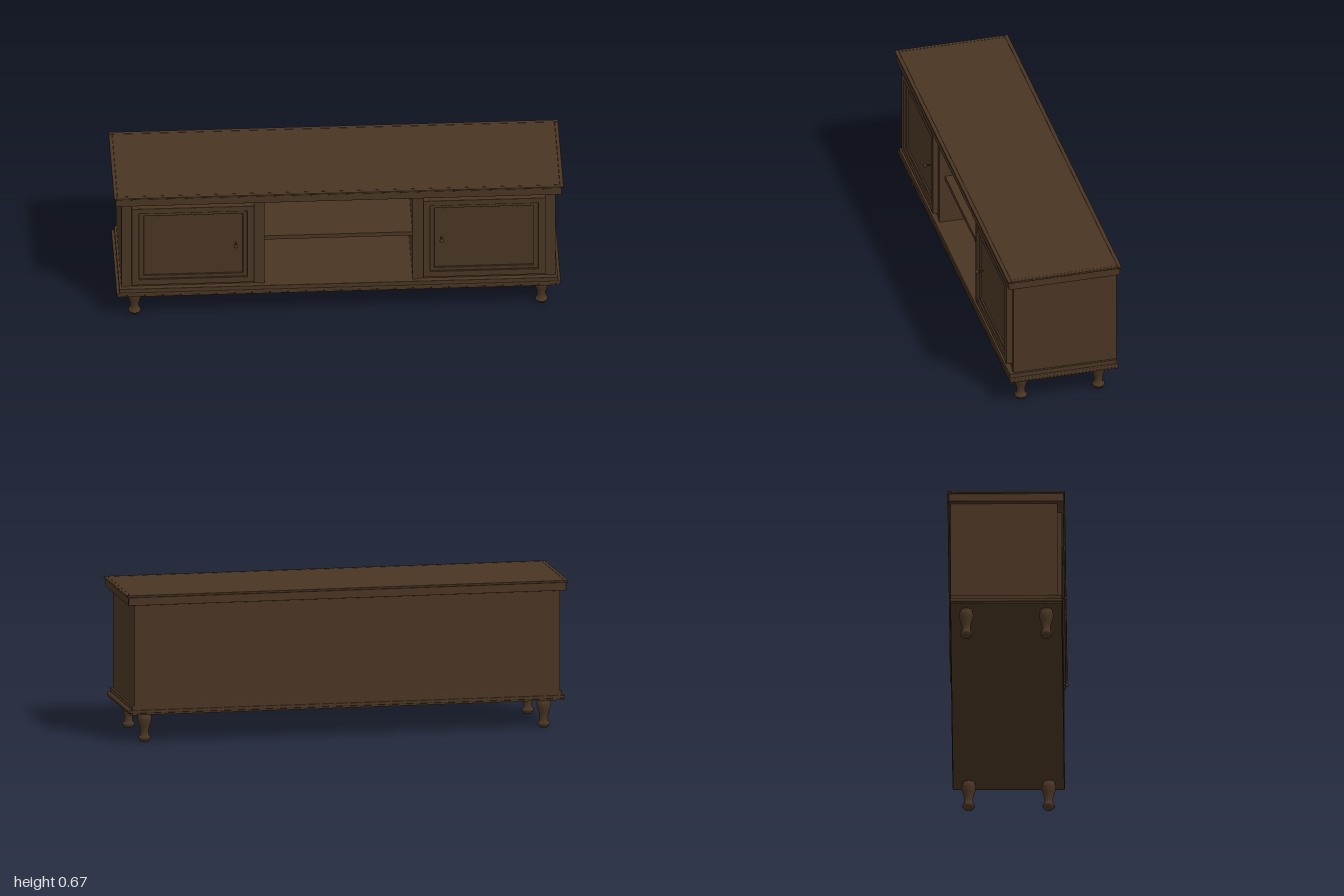
import * as THREE from 'three';
import { RoundedBoxGeometry } from 'three/addons/geometries/RoundedBoxGeometry.js';

export function createModel() {
  const model = new THREE.Group();
  model.name = 'mediaCabinet';
  const wood = new THREE.MeshStandardMaterial({ color: 0x493523 });
  wood.name = 'darkWood';

  const add = (parent, name, geometry) => {
    const mesh = new THREE.Mesh(geometry, wood);
    mesh.name = name;
    parent.add(mesh);
    return mesh;
  };
  // Boxes are given by their limits on each axis
  const box = (parent, name, [x0, x1], [y0, y1], [z0, z1], r = 0) => {
    const size = [x1 - x0, y1 - y0, z1 - z0];
    const g = r ? new RoundedBoxGeometry(...size, 2, r) : new THREE.BoxGeometry(...size);
    const mesh = add(parent, name, g);
    mesh.position.set((x0 + x1) / 2, (y0 + y1) / 2, (z0 + z1) / 2);
    return mesh;
  };

  // Top board with a rounded edge bead
  box(model, 'topBoard', [-0.992, 0.992], [0.625, 0.662], [-0.258, 0.252], 0.002);
  box(model, 'topPanel', [-0.983, 0.983], [0.66, 0.671], [-0.246, 0.24]);
  for (const [z0, z1] of [[-0.264, -0.246], [0.24, 0.258]])
    box(model, 'topEdgeBead', [-1, 1], [0.662, 0.672], [z0, z1], 0.003);
  for (const s of [-1, 1])
    box(model, 'topEndBead', [s * 0.9915 - 0.0085, s * 0.9915 + 0.0085], [0.662, 0.672], [-0.246, 0.24], 0.003);

  // Plinth and its moulding
  box(model, 'baseBoard', [-0.975, 0.975], [0.15, 0.172], [-0.25, 0.244], 0.002);
  box(model, 'baseMoulding', [-0.988, 0.988], [0.137, 0.152], [-0.253, 0.247], 0.004);
  box(model, 'baseUnderside', [-0.982, 0.982], [0.13, 0.14], [-0.25, 0.244]);

  // Carcass
  box(model, 'backPanel', [-0.965, 0.965], [0.171, 0.626], [-0.25, -0.231]);
  box(model, 'shelf', [-0.332, 0.332], [0.39, 0.41], [-0.232, 0.2]);

  // Turned leg profile: radius, height
  const legProfile = [
    [0, 0], [0.019, 0], [0.021, 0.007], [0.027, 0.011], [0.028, 0.018], [0.025, 0.023],
    [0.02, 0.027], [0.019, 0.04], [0.019, 0.054], [0.024, 0.07], [0.03, 0.09],
    [0.032, 0.105], [0.031, 0.111], [0.028, 0.117], [0.027, 0.132],
  ].map(([r, y]) => new THREE.Vector2(r, y));
  const legGeometry = new THREE.LatheGeometry(legProfile, 24);

  for (const s of [-1, 1]) {
    const side = s > 0 ? 'left' : 'right';
    const span = (a, b) => (s > 0 ? [a, b] : [-b, -a]);

    box(model, side + 'SidePanel', span(0.94, 0.965), [0.171, 0.626], [-0.232, 0.225]);
    box(model, side + 'Divider', span(0.33, 0.358), [0.171, 0.626], [-0.232, 0.225]);
    box(model, side + 'OuterStile', span(0.914, 0.941), [0.171, 0.626], [0.195, 0.22]);
    box(model, side + 'InnerStile', span(0.357, 0.38), [0.171, 0.626], [0.195, 0.22]);
    box(model, side + 'TopRail', span(0.357, 0.941), [0.605, 0.626], [0.195, 0.22]);
    box(model, side + 'BottomRail', span(0.357, 0.941), [0.171, 0.192], [0.195, 0.22]);

    // Framed door with a stepped inner moulding
    const door = new THREE.Group();
    door.name = side + 'Door';
    model.add(door);
    box(door, 'doorPanel', span(0.375, 0.92), [0.192, 0.604], [0.215, 0.23]);
    for (const [a, b] of [[0.888, 0.92], [0.375, 0.406]])
      box(door, 'doorStile', span(a, b), [0.192, 0.604], [0.215, 0.245], 0.002);
    for (const [a, b] of [[0.192, 0.222], [0.576, 0.604]])
      box(door, 'doorRail', span(0.405, 0.889), [a, b], [0.215, 0.244], 0.002);
    for (const [a, b] of [[0.866, 0.888], [0.406, 0.426]])
      box(door, 'doorMouldingUpright', span(a, b), [0.222, 0.576], [0.215, 0.238], 0.003);
    for (const [a, b] of [[0.222, 0.24], [0.56, 0.576]])
      box(door, 'doorMouldingRail', span(0.42, 0.87), [a, b], [0.215, 0.238], 0.003);

    // Knob and stem
    const knob = add(door, 'knob', new THREE.SphereGeometry(1, 16, 12));
    knob.scale.set(0.009, 0.009, 0.007);
    knob.position.set(s * 0.457, 0.398, 0.259);
    const stem = add(door, 'knobStem', new THREE.CylinderGeometry(0.004, 0.004, 0.028, 10));
    stem.rotation.x = Math.PI / 2;
    stem.position.set(s * 0.457, 0.398, 0.242);

    for (const z of [0.175, -0.181])
      add(model, side + (z > 0 ? 'FrontLeg' : 'BackLeg'), legGeometry).position.set(s * 0.905, 0, z);
  }
  return model;
}
